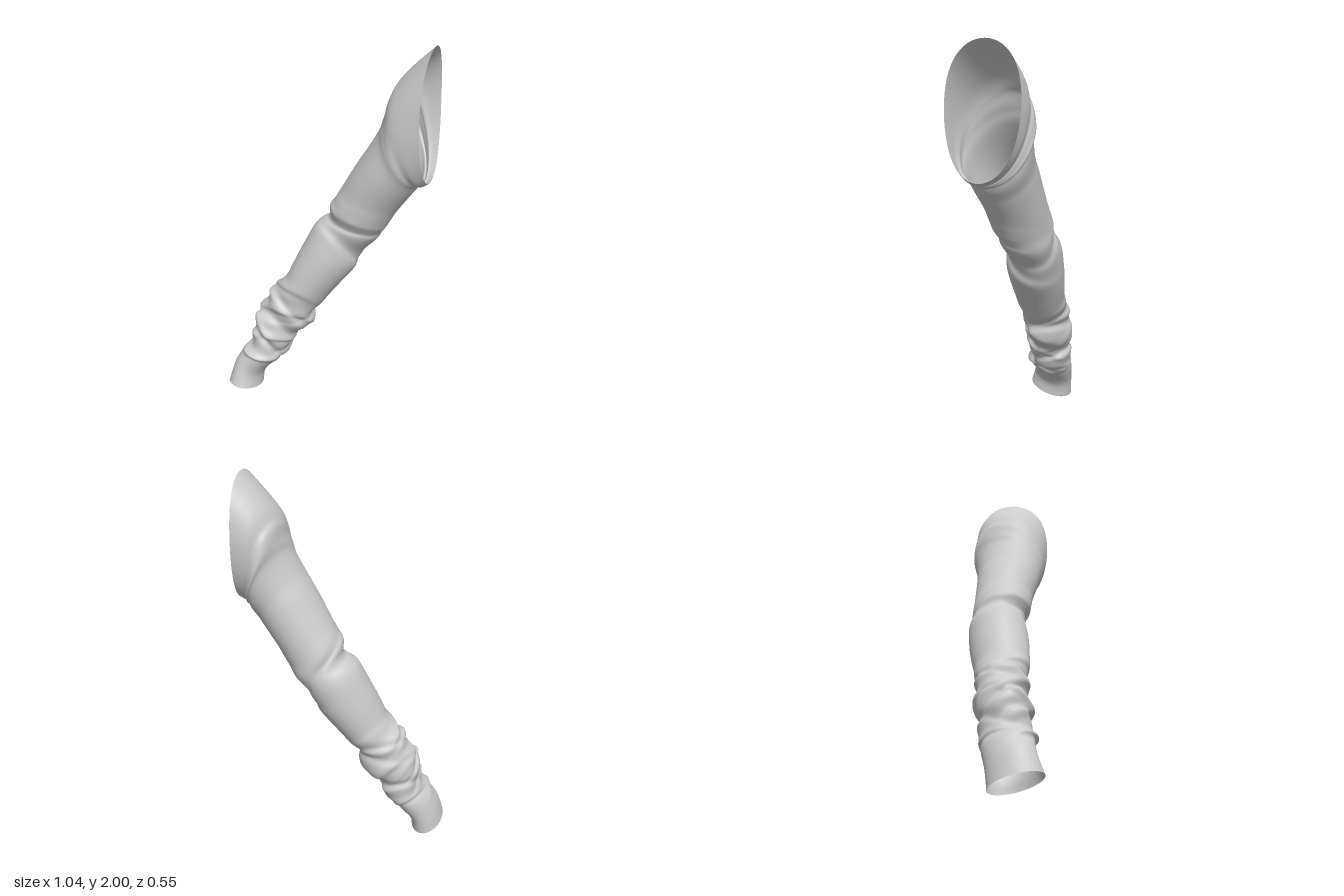
import * as THREE from 'three';

// Rings from cuff to armhole: upper edge x,y | under edge x,y | z centre, half depth, front lift
const RINGS = [
  [-0.52, 0.05, -0.35, 0.02, 0.155, 0.125, 0.03],
  [-0.487, 0.17, -0.345, 0.09, 0.13, 0.115, 0.03],
  [-0.44, 0.25, -0.28, 0.18, 0.103, 0.12, 0.02],
  [-0.40, 0.30, -0.23, 0.23, 0.09, 0.115, 0.02],
  [-0.40, 0.40, -0.185, 0.30, 0.07, 0.125, 0.03],
  [-0.38, 0.47, -0.17, 0.37, 0.06, 0.12, 0.03],
  [-0.325, 0.55, -0.085, 0.43, 0.04, 0.124, 0.03],
  [-0.315, 0.63, -0.06, 0.52, 0.03, 0.126, 0.03],
  [-0.245, 0.68, -0.01, 0.60, 0.014, 0.13, 0.03],
  [-0.20, 0.77, 0.06, 0.70, 0.0, 0.143, 0.03],
  [-0.13, 0.92, 0.14, 0.81, -0.028, 0.152, 0.03],
  [-0.07, 1.04, 0.185, 0.91, -0.051, 0.149, 0.03],
  [-0.005, 1.10, 0.25, 0.99, -0.06, 0.146, 0.02],
  [0.015, 1.18, 0.285, 1.05, -0.053, 0.152, 0.02],
  [0.07, 1.27, 0.325, 1.12, -0.052, 0.159, 0.02],
  [0.17, 1.45, 0.405, 1.245, -0.053, 0.173, 0.01],
  [0.25, 1.59, 0.445, 1.305, -0.06, 0.185, 0.0],
  [0.285, 1.68, 0.462, 1.335, -0.06, 0.195, -0.01],
  [0.305, 1.79, 0.475, 1.34, -0.062, 0.198, -0.02],
  [0.375, 1.885, 0.49, 1.345, -0.063, 0.205, -0.03],
  [0.49, 2.0, 0.515, 1.36, -0.065, 0.208, -0.02],
];

// Folds: ring position, slant, slant angle, height, width, centre angle (0 under, PI/2 front, PI top)
const FOLDS = [
  [1.9, 0.5, 1.2, 0.013, 0.4, 1.4],
  [2.3, 0.6, 4.0, 0.014, 0.4, 4.4],
  [2.7, 0.5, 5.6, 0.013, 0.35, 0.4],
  [3.2, 0.8, 2.2, -0.019, 0.35, 1.8],
  [3.9, 0.7, 0.4, 0.016, 0.4, 1.0],
  [3.6, 0.8, 5.0, -0.017, 0.35, 4.9],
  [4.5, 0.9, 3.4, 0.013, 0.35, 2.6],
  [4.7, 0.9, 1.8, -0.018, 0.35, 2.0],
  [5.2, 0.7, 3.9, 0.016, 0.4, 4.3],
  [5.8, 0.8, 0.9, 0.014, 0.35, 1.3],
  [6.1, 0.9, 5.6, -0.014, 0.35, 5.4],
  [6.5, 0.7, 2.6, -0.018, 0.4, 1.7],
  [6.8, 0.8, 4.9, -0.014, 0.4, 4.6],
  [7.6, 0.6, 1.5, 0.011, 0.4, 2.2],
  [8.3, 0.5, 3.6, -0.007, 0.5, 4.0],
  [10.8, 0.6, 2.2, -0.013, 0.4, 0.8],
  [12.1, 0.4, 0.3, -0.01, 0.35, 1.8],
  [12.9, 0.4, 0.3, 0.005, 0.4, 2.0],
  [12.1, 1.1, 2.7, -0.01, 0.4, 4.2],
  [14.0, 0.4, 0.6, -0.005, 0.5, 1.0],
  [15.2, 0.3, 4.5, -0.005, 0.5, 4.2],
  [17.1, 0.5, 5.2, 0.012, 0.5, 4.4],
  [18.2, 0.5, 5.2, -0.012, 0.4, 4.4],
];

// Smooth value of ring column k at position s
function ringValue(s, k) {
  const i = Math.min(Math.floor(s), RINGS.length - 2);
  const f = s - i;
  const at = (n) => RINGS[THREE.MathUtils.clamp(n, 0, RINGS.length - 1)][k];
  const [a, b, c, d] = [at(i - 1), at(i), at(i + 1), at(i + 2)];
  return b + 0.5 * f * (c - a + f * (2 * a - 5 * b + 4 * c - d + f * (3 * (b - c) + d - a)));
}

// Height of the cloth folds, steeper on the cuff side
function foldHeight(s, t) {
  let h = 0;
  for (const [s0, slant, phase, height, width, centre] of FOLDS) {
    const x = s - s0 - slant * Math.cos(t - phase);
    const w = x < 0 ? width * 0.55 : width * 1.2;
    h += height * Math.exp(-(x * x) / (w * w)) * (0.5 + 0.5 * Math.cos(t - centre));
  }
  // both hems stay clean
  return h * THREE.MathUtils.smoothstep(s, 0, 1.2) * (1 - THREE.MathUtils.smoothstep(s, 18, 20));
}

function sleeveGeometry(rows = 220, cols = 80) {
  const positions = [];
  const index = [];
  for (let i = 0; i <= rows; i++) {
    const s = (i / rows) * (RINGS.length - 1);
    const [lx, ly, rx, ry, zc, hz, lift] = RINGS[0].map((_, k) => ringValue(s, k));
    const hx = (rx - lx) / 2;
    const hy = (ry - ly) / 2;
    const half = Math.hypot(hx, hy);
    // the armhole is a full egg shape, broad at the top, and turned slightly to the back
    const rim = THREE.MathUtils.smoothstep(s, 16, 20);
    for (let j = 0; j < cols; j++) {
      const t = (j / cols) * Math.PI * 2;
      const h = foldHeight(s, t);
      const cos = Math.cos(t);
      const c = cos * (1 + h / half);
      const d = Math.sin(t) * (1 + h / hz) * (1 + rim * cos * (0.12 * cos - 0.07));
      positions.push(
        (lx + rx) / 2 + hx * c + rim * (0.012 * d - 0.012 * d * d),
        (ly + ry) / 2 + hy * c + lift * d,
        zc + hz * d,
      );
      if (i < rows) {
        const a = i * cols + j;
        const b = i * cols + ((j + 1) % cols);
        index.push(a, a + cols, b, b, a + cols, b + cols);
      }
    }
  }
  const geometry = new THREE.BufferGeometry();
  geometry.setAttribute('position', new THREE.Float32BufferAttribute(positions, 3));
  geometry.setIndex(index);
  geometry.computeVertexNormals();
  return geometry;
}

export function createModel() {
  const group = new THREE.Group();
  group.name = 'sleeveModel';
  const cloth = new THREE.MeshStandardMaterial({ color: 0xcccccc, side: THREE.DoubleSide });
  // open cloth tube from the cuff to the slanted armhole
  const sleeve = new THREE.Mesh(sleeveGeometry(), cloth);
  sleeve.name = 'sleeve';
  group.add(sleeve);
  return group;
}
